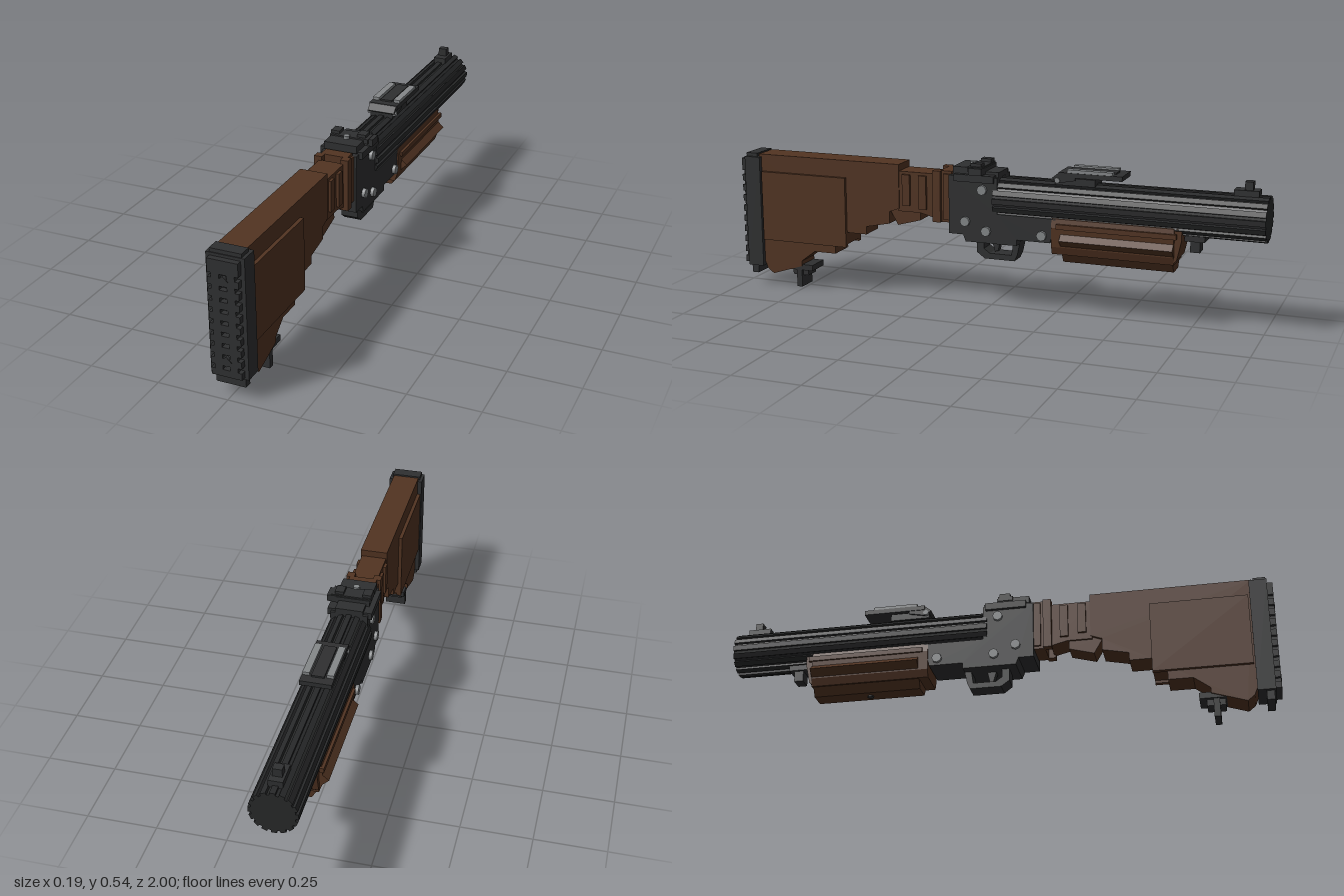
import * as THREE from 'three';

const mat = (name, color) => new THREE.MeshStandardMaterial({ name, color });

export function createModel() {
  const root = new THREE.Group();
  root.name = 'launcher';
  const wood = mat('brown wood', 0x523422);
  const steel = mat('dark steel', 0x2f3031);
  const black = mat('barrel black', 0x28292a);
  const silver = mat('bare metal', 0x85888a);

  const add = (name, geo, m) => {
    const mesh = new THREE.Mesh(geo, m);
    mesh.name = name;
    root.add(mesh);
    return mesh;
  };
  // Box given by its limits
  const box = (name, m, x0, x1, y0, y1, z0, z1) => {
    const g = new THREE.BoxGeometry(x1 - x0, y1 - y0, z1 - z0);
    g.translate((x0 + x1) / 2, (y0 + y1) / 2, (z0 + z1) / 2);
    return add(name, g, m);
  };
  const shapeOf = (pts) => new THREE.Shape(pts.map(([a, b]) => new THREE.Vector2(a, b)));
  // Side outline of [z, y] points, given a thickness across x
  const profile = (name, m, pts, x0, x1, hole) => {
    const s = shapeOf(pts);
    if (hole) s.holes.push(shapeOf(hole));
    const g = new THREE.ExtrudeGeometry(s, { depth: x1 - x0, bevelEnabled: false });
    g.rotateY(-Math.PI / 2);
    g.translate(x1, 0, 0);
    return add(name, g, m);
  };
  // Cross-section of [x, y] points on the left, mirrored and swept along z
  const sweep = (name, m, half, z0, z1) => {
    const pts = half.concat(half.slice().reverse().map(([x, y]) => [-x, y]));
    const g = new THREE.ExtrudeGeometry(shapeOf(pts), { depth: z1 - z0, bevelEnabled: false });
    g.translate(0, 0, z0);
    return add(name, g, m);
  };

  // Butt stock with stepped underside
  profile('stock', wood, [
    [0.925, 0.51], [0.345, 0.51], [0.345, 0.345], [0.385, 0.33], [0.385, 0.285], [0.48, 0.265],
    [0.48, 0.235], [0.56, 0.235], [0.56, 0.19], [0.612, 0.19], [0.612, 0.148], [0.70, 0.148],
    [0.757, 0.105], [0.757, 0.085], [0.88, 0.045], [0.905, 0.065], [0.915, 0.09],
  ], -0.05, 0.05);
  for (const s of [-1, 1]) {
    const side = (name, m, a, b, ...r) => box(name, m, Math.min(s * a, s * b), Math.max(s * a, s * b), ...r);
    side('stockPanel', wood, 0.045, 0.063, 0.18, 0.445, 0.56, 0.91);
    side('wristPanel', wood, 0.045, 0.056, 0.36, 0.475, 0.30, 0.33);
    side('wristPanel', wood, 0.045, 0.056, 0.35, 0.475, 0.235, 0.265);
    side('collarPlate', wood, 0.035, 0.064, 0.31, 0.50, 0.175, 0.205);
    side('collarPlate', wood, 0.045, 0.058, 0.32, 0.49, 0.14, 0.165);
  }

  // Wrist joining stock and receiver
  profile('wrist', wood, [[0.35, 0.485], [0.2, 0.485], [0.2, 0.32], [0.26, 0.335], [0.35, 0.335]], -0.046, 0.046);
  profile('wristLower', wood, [[0.39, 0.34], [0.265, 0.345], [0.265, 0.305], [0.355, 0.28]], -0.038, 0.038);
  box('collar', wood, -0.05, 0.05, 0.31, 0.5, 0.135, 0.18);

  // Butt pad with a notched tread
  box('buttPad', steel, -0.066, 0.066, 0.075, 0.5, 0.915, 0.978);
  box('buttPadTop', steel, -0.055, 0.055, 0.49, 0.513, 0.93, 0.975);
  box('buttPadToe', steel, -0.052, 0.052, 0.042, 0.08, 0.945, 0.972);
  const rows = [0.115, 0.155, 0.195, 0.235, 0.275, 0.315, 0.355, 0.395, 0.435];
  const right = [[0.053, 0.083]];
  for (const y of rows) right.push([0.053, y - 0.008], [0.04, y - 0.008], [0.04, y + 0.008], [0.053, y + 0.008]);
  right.push([0.053, 0.49]);
  const tread = shapeOf(right.concat(right.slice().reverse().map(([x, y]) => [-x, y])));
  for (const y of rows) {
    tread.holes.push(shapeOf([[-0.013, y - 0.007], [-0.013, y + 0.007], [0.013, y + 0.007], [0.013, y - 0.007]]));
  }
  const treadGeo = new THREE.ExtrudeGeometry(tread, { depth: 0.021, bevelEnabled: false });
  add('buttPadTread', treadGeo.translate(0, 0, 0.977), steel);
  for (const y of [0.138, 0.42]) {
    const g = new THREE.CylinderGeometry(0.019, 0.019, 0.012, 4).rotateX(Math.PI / 2);
    add('padScrew', g.translate(0, y, 0.994), steel);
  }

  // Rear sling swivel
  box('slingBase', steel, -0.045, 0.045, 0.068, 0.09, 0.715, 0.82);
  box('slingNeck', steel, -0.03, 0.03, 0.045, 0.07, 0.74, 0.805);
  box('slingTab', steel, -0.04, 0.04, 0, 0.07, 0.763, 0.785);

  // Receiver
  profile('receiver', steel, [
    [0.14, 0.49], [-0.045, 0.49], [-0.045, 0.36], [-0.265, 0.36], [-0.245, 0.272],
    [-0.12, 0.272], [-0.12, 0.25], [0.075, 0.25], [0.085, 0.275], [0.14, 0.275],
  ], -0.067, 0.067);
  box('receiverRim', steel, -0.08, 0.08, 0.472, 0.498, -0.035, 0.115);
  box('receiverCap', steel, -0.062, 0.062, 0.495, 0.522, 0.005, 0.125);
  box('rearSightBase', steel, -0.066, 0.078, 0.51, 0.527, 0.01, 0.065);
  for (const x of [-0.05, 0.05]) box('rearSightEar', steel, x - 0.016, x + 0.016, 0.52, 0.538, 0.015, 0.055);
  box('latchKnob', steel, 0.06, 0.092, 0.5, 0.525, 0.005, 0.055);
  box('topBridge', steel, -0.05, 0.05, 0.485, 0.508, -0.045, 0.01);
  const topScrew = new THREE.CylinderGeometry(0.012, 0.012, 0.014, 8);
  add('topScrew', topScrew.translate(0, 0.527, 0.07), silver);

  // Side bolts
  for (const [z, y] of [[0.01, 0.445], [0.075, 0.325], [-0.005, 0.295], [-0.215, 0.297]]) {
    for (const s of [-1, 1]) {
      const b = add('bolt', new THREE.CylinderGeometry(0.018, 0.018, 0.018, 8).rotateZ(Math.PI / 2), silver);
      b.position.set(s * 0.07, y, z);
    }
  }

  // Trigger and guard
  profile('triggerGuard', steel, [
    [0.045, 0.26], [0.045, 0.205], [0.015, 0.183], [-0.1, 0.183], [-0.11, 0.205], [-0.122, 0.26],
  ], -0.032, 0.032, [[0.018, 0.252], [-0.095, 0.252], [-0.088, 0.204], [-0.005, 0.204], [0.018, 0.22]]);
  profile('trigger', steel, [[-0.005, 0.255], [-0.04, 0.255], [-0.03, 0.21], [-0.018, 0.208]], -0.014, 0.014);

  // Ribbed barrel
  const ribs = [];
  const n = 16;
  for (let i = 0; i < n; i++) {
    for (const [o, r] of [[-0.3, 0.081], [0.3, 0.081], [0.34, 0.072], [0.66, 0.072]]) {
      const a = ((i + o) / n) * Math.PI * 2;
      ribs.push([Math.cos(a) * r, 0.408 + Math.sin(a) * r]);
    }
  }
  const barrelGeo = new THREE.ExtrudeGeometry(shapeOf(ribs), { depth: 0.97, bevelEnabled: false });
  add('barrel', barrelGeo.translate(0, 0, -1), black);

  // Front sight
  box('frontSightBase', steel, -0.024, 0.024, 0.48, 0.506, -0.965, -0.88);
  box('frontSightPost', steel, -0.016, 0.016, 0.5, 0.535, -0.943, -0.915);

  // Folded leaf sight
  box('leafSightMount', steel, -0.045, 0.045, 0.48, 0.506, -0.4, -0.255);
  profile('leafSightHinge', steel, [[-0.245, 0.505], [-0.27, 0.488], [-0.33, 0.5], [-0.33, 0.525], [-0.27, 0.525]], -0.052, 0.052);
  box('leafSightPlate', steel, -0.055, 0.055, 0.51, 0.527, -0.5, -0.27);
  box('leafSightSlide', steel, -0.022, 0.022, 0.525, 0.533, -0.47, -0.3);
  for (const s of [-1, 1]) {
    box('leafSightRail', silver, s * 0.041 - 0.012, s * 0.041 + 0.012, 0.525, 0.538, -0.465, -0.3);
    const pin = add('leafSightPin', new THREE.CylinderGeometry(0.01, 0.01, 0.012, 8).rotateZ(Math.PI / 2), silver);
    pin.position.set(s * 0.05, 0.497, -0.265);
  }

  // Wooden fore-end: body, side ridges, tapered floor
  sweep('foreEnd', wood, [[0.058, 0.232], [0.068, 0.26], [0.072, 0.33], [0.066, 0.362]], -0.69, -0.25);
  profile('foreEndNose', wood, [[-0.685, 0.362], [-0.685, 0.235], [-0.7, 0.25], [-0.715, 0.32], [-0.715, 0.362]], -0.06, 0.06);
  sweep('foreEndRidge', wood, [[0.06, 0.257], [0.093, 0.289], [0.06, 0.318]], -0.69, -0.285);
  for (const s of [-1, 1]) box('foreEndRail', wood, s * 0.072 - 0.007, s * 0.072 + 0.007, 0.327, 0.345, -0.7, -0.27);
  sweep('foreEndFloor', wood, [[0.032, 0.2], [0.054, 0.236]], -0.685, -0.285);
  const floorScrew = new THREE.CylinderGeometry(0.012, 0.012, 0.01, 8);
  add('floorScrew', floorScrew.translate(0, 0.2, -0.48), steel);

  // Front sling lug
  box('frontLugBase', steel, -0.035, 0.035, 0.315, 0.345, -0.79, -0.72);
  box('frontLug', steel, -0.025, 0.025, 0.275, 0.32, -0.772, -0.738);

  return root;
}
